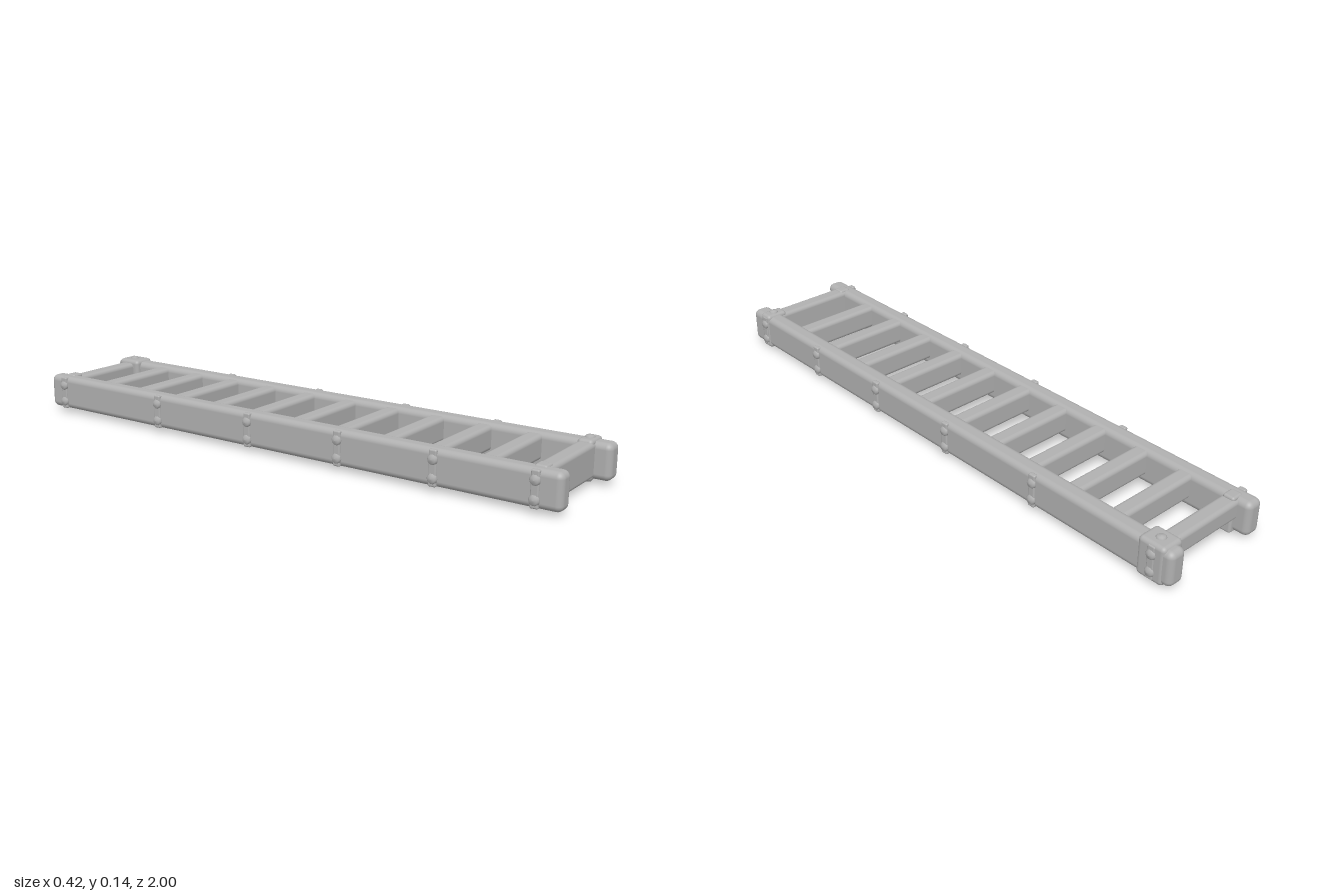
import * as THREE from 'three';
import { RoundedBoxGeometry } from 'three/addons/geometries/RoundedBoxGeometry.js';

export function createModel() {
  const model = new THREE.Group();
  model.name = 'ladder';
  const gray = new THREE.MeshStandardMaterial({ color: 0xb0b0b0 });
  gray.name = 'worn gray';

  // Rounded block given by its two opposite corners
  function block(name, [x0, y0, z0], [x1, y1, z1], radius) {
    const geometry = new RoundedBoxGeometry(x1 - x0, y1 - y0, z1 - z0, 4, radius);
    const mesh = new THREE.Mesh(geometry, gray);
    mesh.position.set((x0 + x1) / 2, (y0 + y1) / 2, (z0 + z1) / 2);
    mesh.name = name;
    model.add(mesh);
    return mesh;
  }

  // Domed bolt head pointing along a direction
  const boltProfile = [[0, -0.006], [0.017, -0.006], [0.017, 0.004], [0.012, 0.01], [0, 0.012]]
    .map(([r, h]) => new THREE.Vector2(r, h));
  const boltGeometry = new THREE.LatheGeometry(boltProfile, 10);
  function bolt(x, y, z, direction) {
    const mesh = new THREE.Mesh(boltGeometry, gray);
    mesh.name = 'bolt';
    mesh.position.set(x, y, z);
    mesh.quaternion.setFromUnitVectors(new THREE.Vector3(0, 1, 0), direction);
    model.add(mesh);
  }

  // Side rails
  block('leftRail', [0.137, 0.015, -1], [0.2, 0.131, 1], 0.02);
  block('rightRail', [-0.2, 0.015, -1], [-0.14, 0.131, 1], 0.02);

  // Rungs: a deep board at the front, a shallow one at the back
  const rungCount = 12;
  for (let i = 0; i < rungCount; i++) {
    const z = -0.93 + i * 0.1682;
    const front = i === rungCount - 1;
    const bottom = front ? 0.018 : i === 0 ? 0.06 : 0.045;
    block(front ? 'frontBoard' : 'rung', [-0.16, bottom, z - 0.028], [0.16, front ? 0.13 : 0.126, z + 0.028], 0.014);
  }

  // Bands and paired bolts along the outside of each rail
  for (const side of [-1, 1]) {
    const outward = new THREE.Vector3(side, 0, 0);
    for (const z of [-0.93, -0.475, -0.085, 0.265, 0.6, 0.92]) {
      const band = block('railBand', [-0.008, 0.017, z - 0.013], [0.008, 0.13, z + 0.013], 0.005);
      band.position.x = side * 0.197;
      for (const y of [0.042, 0.1]) bolt(side * 0.2, y, z, outward);
    }
  }

  // Corner straps wrapped around the rail ends
  block('backLeftStrap', [0.122, 0.01, -0.975], [0.203, 0.138, -0.88], 0.014);
  block('frontLeftStrap', [0.122, 0.01, 0.895], [0.203, 0.138, 0.945], 0.012);
  for (const z of [-0.93, 0.92]) {
    block('rightStrap', [-0.172, 0.011, z - 0.02], [-0.128, 0.135, z + 0.02], 0.008);
    bolt(0.163, 0.133, z, new THREE.Vector3(0, 1, 0));
    bolt(0.163, 0.012, z, new THREE.Vector3(0, -1, 0));
  }
  return model;
}
